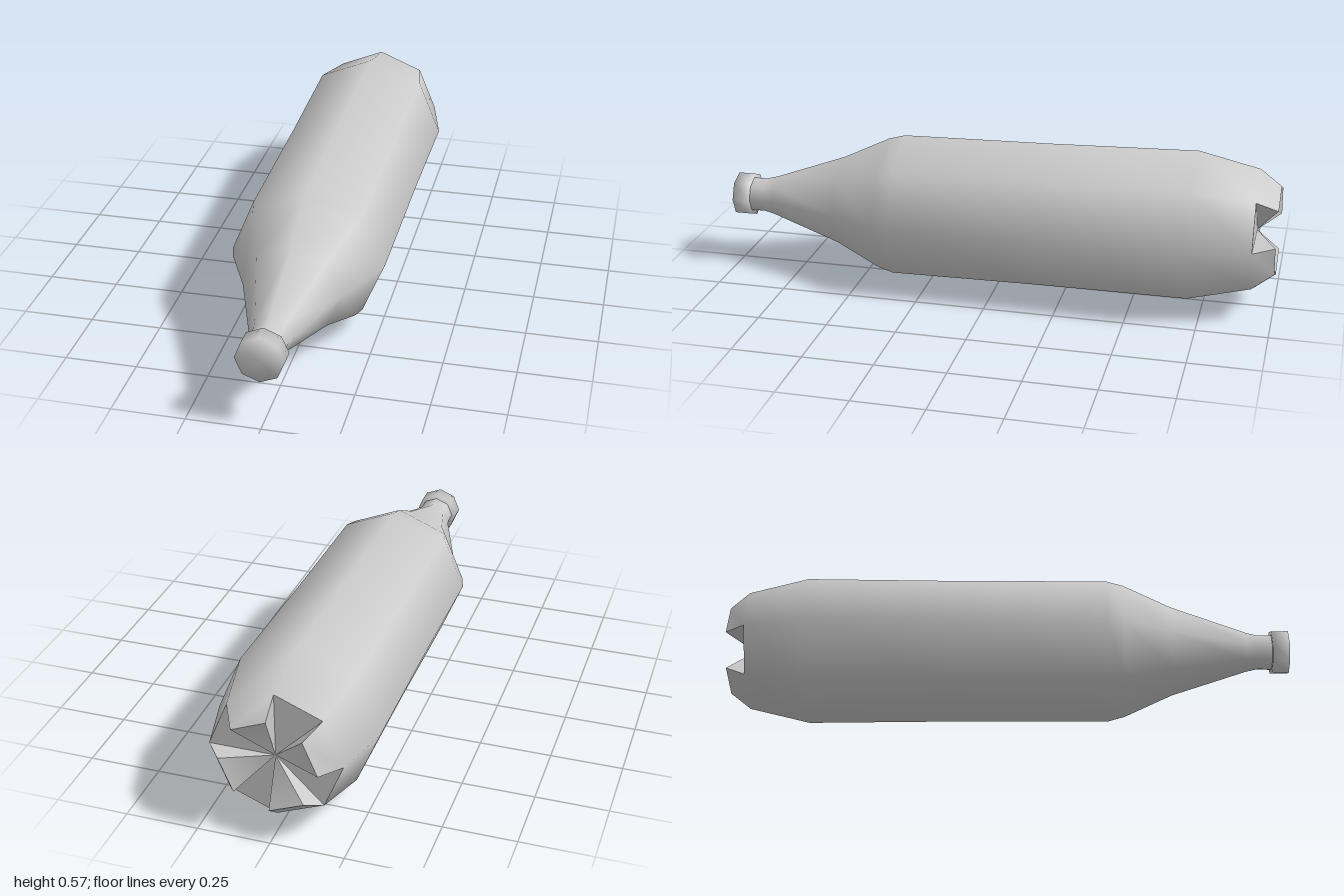
import * as THREE from 'three';
import { toCreasedNormals } from 'three/addons/utils/BufferGeometryUtils.js';

const SIDES = 8;

// Builder that lofts octagonal rings [z, centreY, radius] from front to back along z
function makeLoft(rings) {
  const pos = [], index = [];
  const addPoint = (x, y, z) => pos.push(x, y, z) / 3 - 1;
  const at = (ring, j) => ring * SIDES + (j % SIDES);
  const tri = (...corners) => index.push(...corners);
  const quad = (r, j) => {
    tri(at(r, j), at(r + 1, j), at(r, j + 1));
    tri(at(r, j + 1), at(r + 1, j), at(r + 1, j + 1));
  };
  for (const [z, cy, r] of rings) {
    for (let j = 0; j < SIDES; j++) {
      const a = (j / SIDES) * Math.PI * 2;
      addPoint(r * Math.cos(a), cy + r * Math.sin(a), z);
    }
  }
  const build = () => {
    const g = new THREE.BufferGeometry();
    g.setAttribute('position', new THREE.Float32BufferAttribute(pos, 3));
    g.setIndex(index);
    g.computeVertexNormals();
    return g;
  };
  return { addPoint, at, tri, quad, build };
}

// Bottle shell: neck, shoulder, body and a base with four feet
function bottleGeometry() {
  const rings = [
    [0.945, 0.261, 0.066],
    [0.89, 0.262, 0.065],
    [0.85, 0.263, 0.075],
    [0.58, 0.269, 0.17],
    [0.41, 0.271, 0.252],
    [0.35, 0.271, 0.269],
    [-0.2, 0.281, 0.271],
    [-0.71, 0.29, 0.278],
    [-0.925, 0.294, 0.225],
    [-1, 0.296, 0.166], // rim of the feet
  ];
  const loft = makeLoft(rings);
  const { at, tri, quad } = loft;
  const rim = rings.length - 1, ring = rim - 1;
  for (let r = 0; r < ring; r++) for (let j = 0; j < SIDES; j++) quad(r, j);

  const hub = loft.addPoint(0, 0.294, -0.925);
  for (let j = 0; j < SIDES; j++) {
    if (j % 2) {
      // Foot: outer face, inner slope and two side walls
      quad(ring, j);
      tri(hub, at(rim, j + 1), at(rim, j));
      tri(hub, at(rim, j), at(ring, j));
      tri(hub, at(ring, j + 1), at(rim, j + 1));
    } else {
      // Groove floor between feet
      tri(hub, at(ring, j + 1), at(ring, j));
    }
  }
  return toCreasedNormals(loft.build(), 0.9);
}

// Screw cap with softly shaded closed ends
function capGeometry() {
  const loft = makeLoft([[1, 0.261, 0.081], [0.94, 0.261, 0.081]]);
  const front = loft.addPoint(0, 0.261, 1);
  const back = loft.addPoint(0, 0.261, 0.94);
  for (let j = 0; j < SIDES; j++) {
    loft.quad(0, j);
    loft.tri(front, loft.at(0, j), loft.at(0, j + 1));
    loft.tri(back, loft.at(1, j + 1), loft.at(1, j));
  }
  return loft.build();
}

export function createModel() {
  const group = new THREE.Group();
  group.name = 'bottle';
  const material = new THREE.MeshStandardMaterial({ color: 0xcccccc });
  const add = (name, geometry) => {
    const mesh = new THREE.Mesh(geometry, material);
    mesh.name = name;
    group.add(mesh);
  };
  add('bottleBody', bottleGeometry());
  add('cap', capGeometry());
  return group;
}
